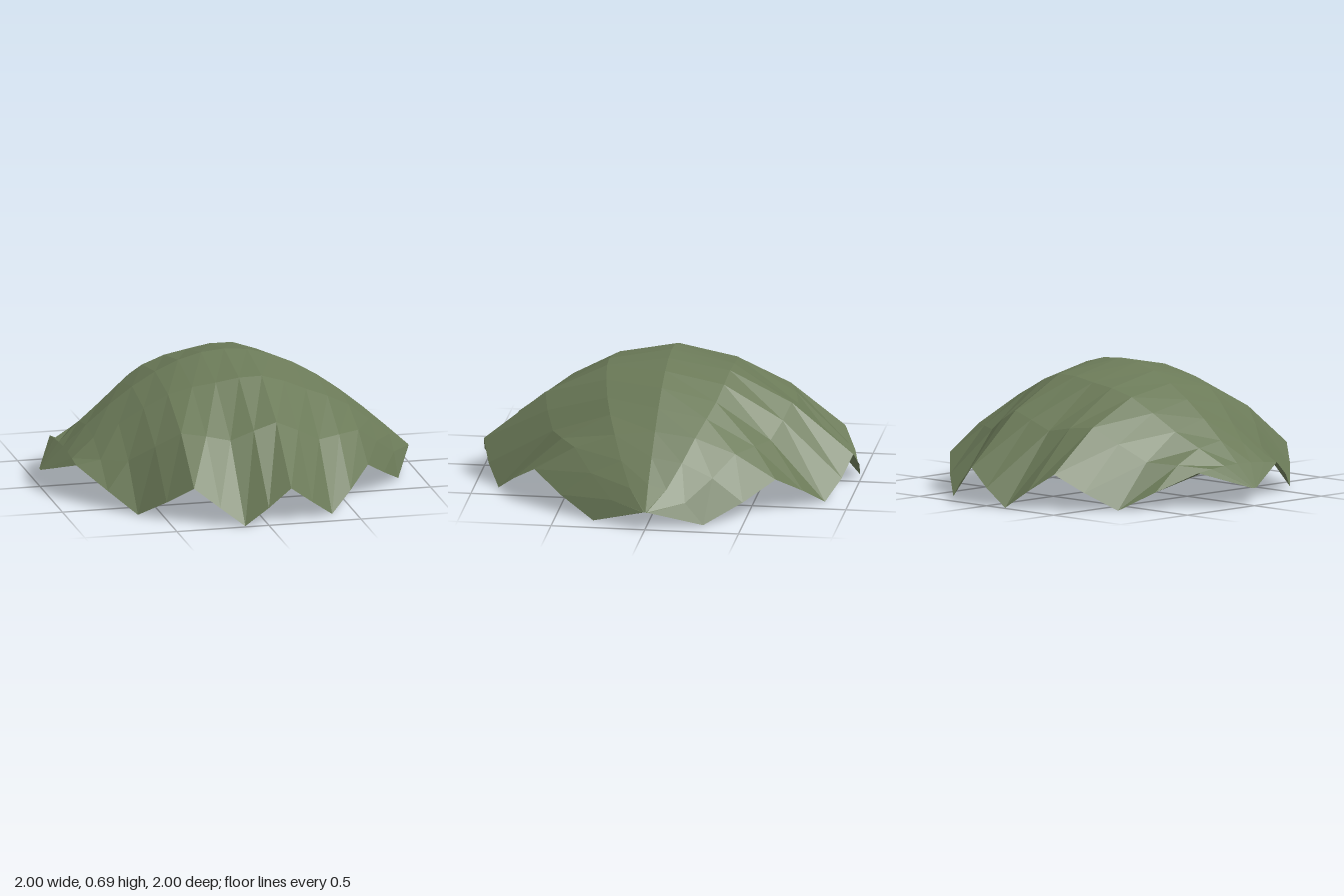
import * as THREE from 'three';

const HALF_SPAN = 1, BASE = 0.095, RISE = 0.595, SCALLOP = 0.095;

// Domed cloth sheet: tapers to a point at both ends, with a wavy lower hem
function canopyGeometry() {
  const geo = new THREE.PlaneGeometry(2 * HALF_SPAN, 2, 16, 6).rotateX(-Math.PI / 2);
  const p = geo.attributes.position;
  for (let i = 0; i < p.count; i++) {
    const x = p.getX(i);
    const f = p.getZ(i); // -1 back hem, 0 ridge, 1 front hem
    const arch = Math.max(0, Math.cos((x * Math.PI) / 2));
    const halfDepth = Math.max(0.015, Math.pow(arch, 0.75));
    const wave = SCALLOP * Math.sin(4 * Math.PI * x) * f * f;
    p.setXYZ(i, x, BASE + RISE * arch * (1 - f * f) + wave, f * halfDepth);
  }
  geo.computeVertexNormals();
  return geo;
}

export function createModel() {
  const group = new THREE.Group();
  group.name = 'canopy';
  const cloth = new THREE.MeshStandardMaterial({
    color: 0x6b7a58, flatShading: true, side: THREE.DoubleSide,
  });
  cloth.name = 'olive cloth';
  const sheet = new THREE.Mesh(canopyGeometry(), cloth);
  sheet.name = 'clothSheet';
  group.add(sheet);
  return group;
}
